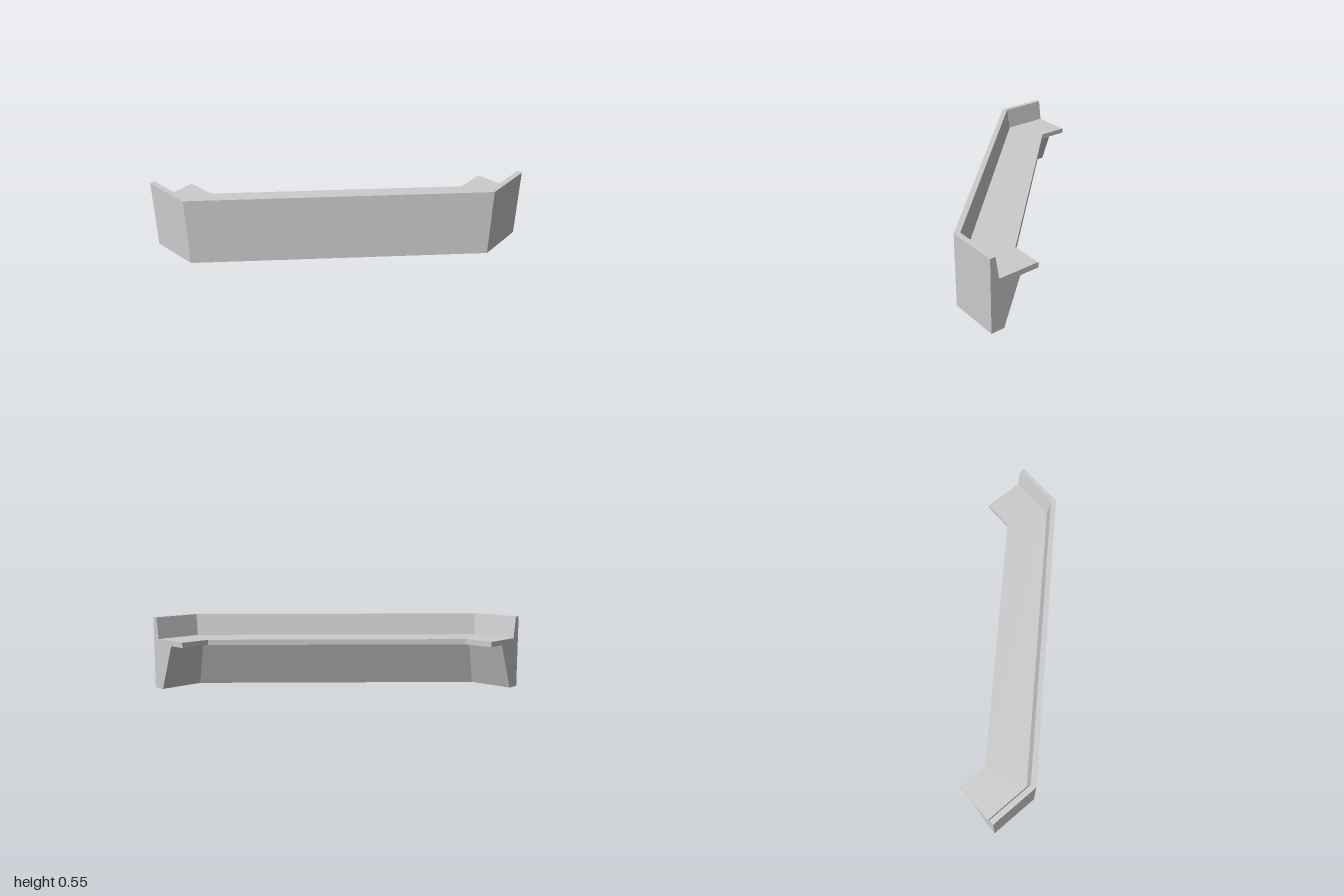
import * as THREE from 'three';

// Wall-and-ledge section: x = distance inward from the outer face, y = height
const SECTION = [
  [0, 0], [0.1, 0], [0.23, 0.345], [0.375, 0.345],
  [0.375, 0.385], [0.065, 0.385], [0.04, 0.55], [0, 0.55],
].map(([d, y]) => new THREE.Vector2(d, y));

const CORNER = 0.61;
const MITRE = Math.tan(Math.PI / 8); // 45 degree bends

// The section placed at the two ends and the two mitred bends
const STATIONS = [
  (d) => [-1, 1 - d],
  (d) => [-CORNER - d * MITRE, 1 - d],
  (d) => [1 - d, -CORNER - d * MITRE],
  (d) => [1 - d, -1],
];

function sweepSection() {
  const positions = [];
  const point = (s, i) => {
    const { x: d, y } = SECTION[i];
    const [x, z] = STATIONS[s](d);
    return [x, y, z];
  };
  const triangle = (...corners) => corners.forEach(([s, i]) => positions.push(...point(s, i)));

  // Long faces between neighbouring stations
  const last = STATIONS.length - 1;
  for (let s = 0; s < last; s++) {
    for (let i = 0; i < SECTION.length; i++) {
      const j = (i + 1) % SECTION.length;
      triangle([s, i], [s, j], [s + 1, j]);
      triangle([s, i], [s + 1, j], [s + 1, i]);
    }
  }

  // End caps, facing away from each other
  for (const face of THREE.ShapeUtils.triangulateShape(SECTION, [])) {
    let [a, b, c] = face;
    if (THREE.ShapeUtils.area([SECTION[a], SECTION[b], SECTION[c]]) < 0) [b, c] = [c, b];
    triangle([0, a], [0, c], [0, b]);
    triangle([last, a], [last, b], [last, c]);
  }

  const geometry = new THREE.BufferGeometry();
  geometry.setAttribute('position', new THREE.Float32BufferAttribute(positions, 3));
  geometry.computeVertexNormals(); // unshared corners keep every edge sharp
  return geometry;
}

export function createModel() {
  const group = new THREE.Group();
  group.name = 'angledParapet';
  const grey = new THREE.MeshStandardMaterial({ color: 0xcccccc });
  grey.name = 'light grey';
  const wall = new THREE.Mesh(sweepSection(), grey);
  wall.name = 'parapetWallWithLedge';
  group.add(wall);
  return group;
}
